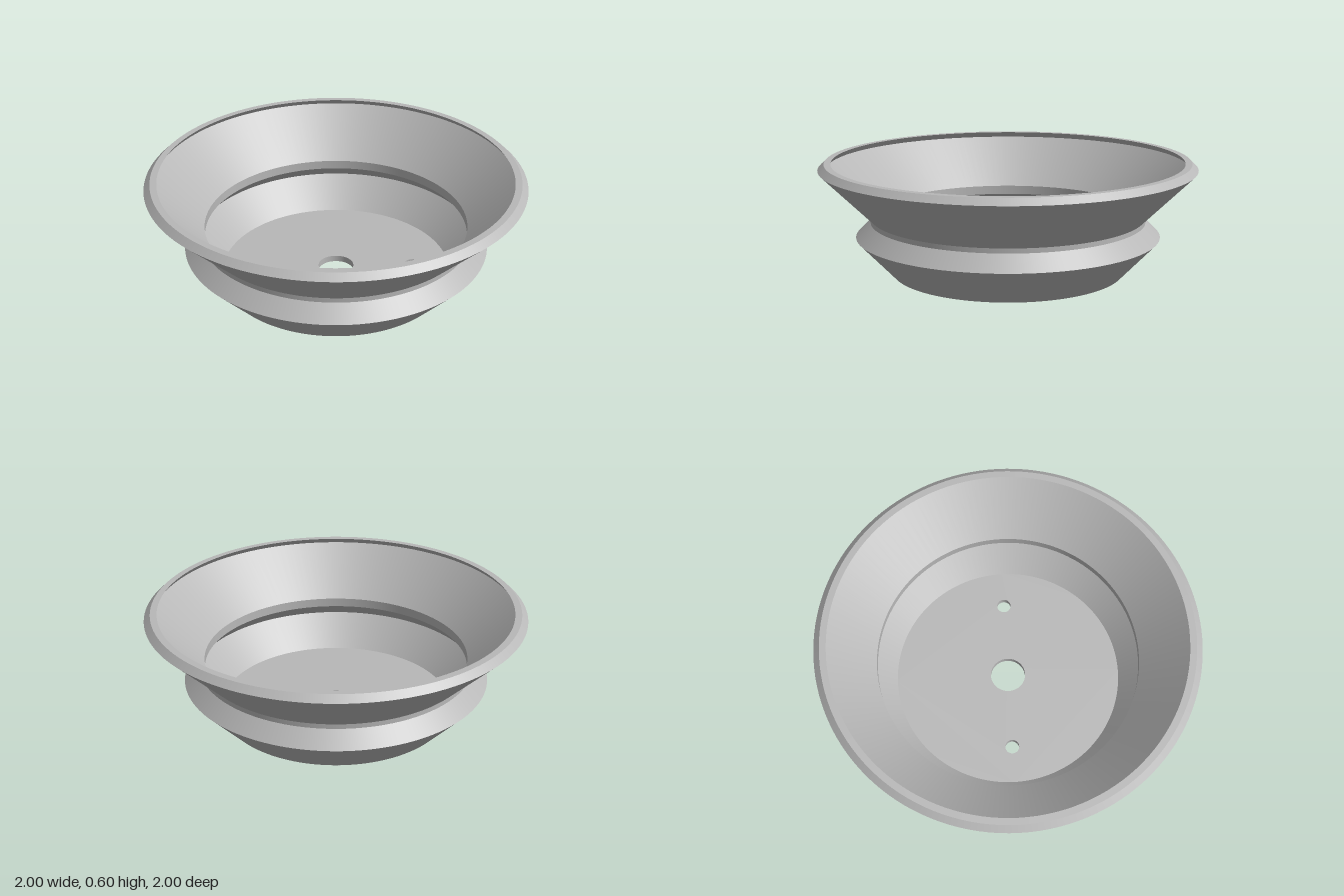
import * as THREE from 'three';
import { mergeGeometries } from 'three/addons/utils/BufferGeometryUtils.js';

const SEGMENTS = 128;

// One lathe per profile segment keeps every ring edge crisp
function creasedLathe(profile) {
  const bands = [];
  for (let i = 0; i < profile.length - 1; i++) {
    const pair = [profile[i], profile[i + 1]].map(([r, y]) => new THREE.Vector2(r, y));
    bands.push(new THREE.LatheGeometry(pair, SEGMENTS));
  }
  return mergeGeometries(bands);
}

export function createModel() {
  const group = new THREE.Group();
  group.name = 'flangedDish';
  const grey = new THREE.MeshStandardMaterial({ color: 0xb8b8b8 });
  grey.name = 'plain grey';

  // Thin wall: up the outside, over the lip, down the inside
  const wall = new THREE.Mesh(creasedLathe([
    [0.62, 0], [0.81, 0.2], [0.732, 0.278], [0.732, 0.303], [1, 0.568], [0.967, 0.6],
    [0.932, 0.6], [0.957, 0.569], [0.7, 0.316], [0.7, 0.267], [0.77, 0.196], [0.613, 0.035],
  ]), grey);
  wall.name = 'wall';
  group.add(wall);

  // Floor disc with a centre bore and two screw holes
  const disc = new THREE.Shape().absarc(0, 0, 0.62, 0, Math.PI * 2);
  for (const [x, r] of [[0, 0.095], [-0.415, 0.038], [0.415, 0.038]]) {
    disc.holes.push(new THREE.Path().absarc(x, 0, r, 0, Math.PI * 2, true));
  }
  const floorGeometry = new THREE.ExtrudeGeometry(disc, {
    depth: 0.035, bevelEnabled: false, curveSegments: SEGMENTS,
  });
  floorGeometry.rotateX(-Math.PI / 2);
  const floor = new THREE.Mesh(floorGeometry, grey);
  floor.name = 'floor';
  group.add(floor);

  return group;
}
